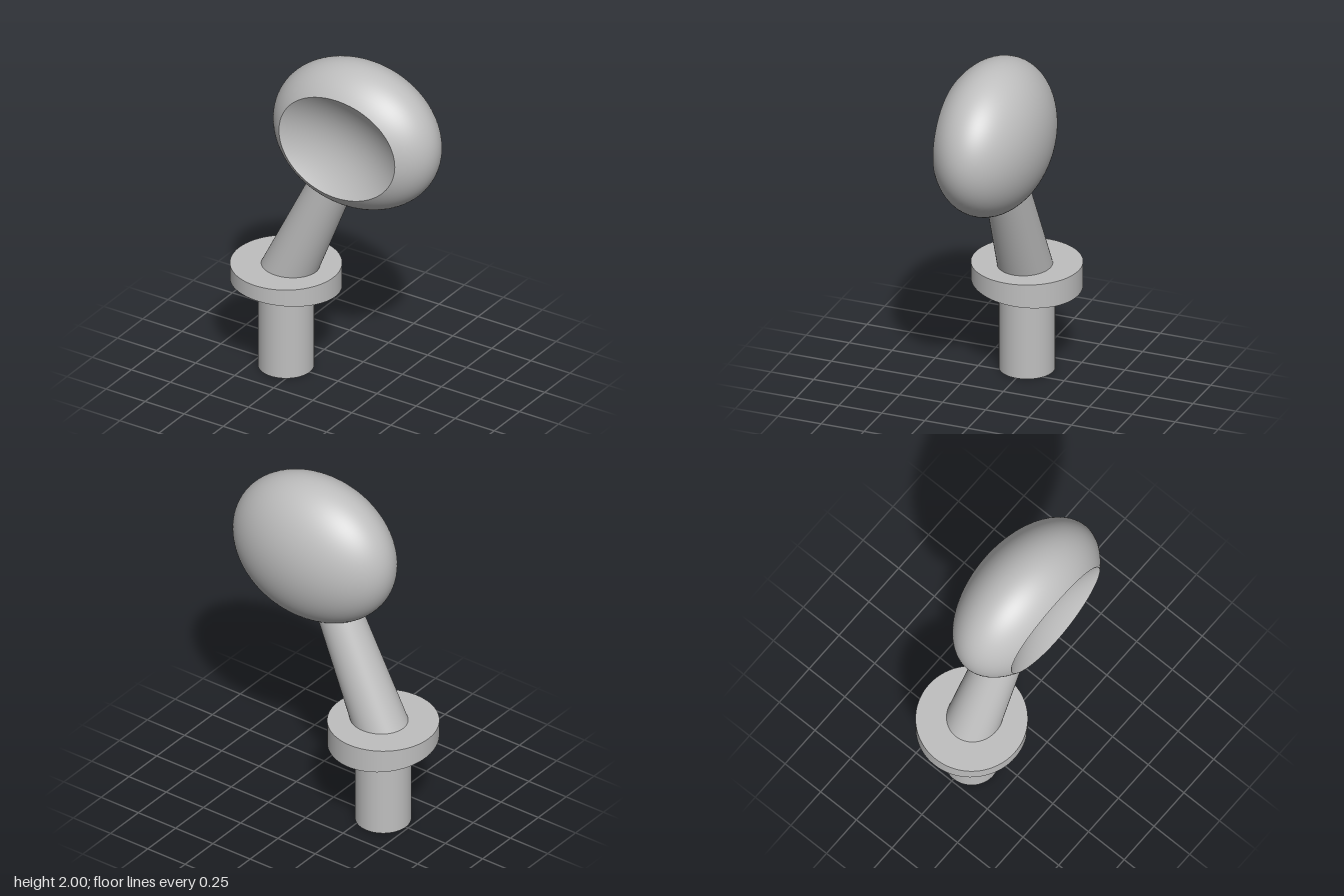
import * as THREE from 'three';
import { ParametricGeometry } from 'three/addons/geometries/ParametricGeometry.js';

const HEAD = new THREE.Vector3(0.125, 1.572, 0);
const RX = 0.505, RY = 0.428, RZ = 0.302; // head radii
const DISH_Z = 0.105;                     // deepest point of the dish
const BASE_X = -0.333;

// Rim of the dish: slightly saddle-shaped, lying on the head ellipsoid
const rimZ = (a) => 0.21 - 0.005 * Math.cos(2 * a);

// Outer shell, from the back pole to the rim
function shellPoint(u, v, target) {
  const a = u * Math.PI * 2;
  const end = Math.PI - Math.acos(rimZ(a) / RZ);
  const t = THREE.MathUtils.lerp(0.001, end, v);
  target.set(RX * Math.sin(t) * Math.cos(a), RY * Math.sin(t) * Math.sin(a), -RZ * Math.cos(t));
}

// Concave face, from the rim to its centre
function dishPoint(u, v, target) {
  const a = u * Math.PI * 2, z = rimZ(a);
  const k = Math.sqrt(1 - (z / RZ) ** 2);
  const s = THREE.MathUtils.lerp(1, 0.001, v);
  target.set(RX * k * s * Math.cos(a), RY * k * s * Math.sin(a), DISH_Z + (z - DISH_Z) * s * s);
}

export function createModel() {
  const group = new THREE.Group();
  const grey = new THREE.MeshStandardMaterial({ color: 0xbfbfbf });
  grey.name = 'plain grey';

  const add = (name, geometry, x, y, z) => {
    const mesh = new THREE.Mesh(geometry, grey);
    mesh.name = name;
    mesh.position.set(x, y, z);
    group.add(mesh);
    return mesh;
  };

  // Round post
  add('post', new THREE.CylinderGeometry(0.152, 0.152, 0.54, 64), BASE_X, 0.27, 0);

  // Collar with a flat top and a slanted underside
  const collar = new THREE.CylinderGeometry(0.302, 0.302, 0.12, 96);
  const p = collar.attributes.position;
  for (let i = 0; i < p.count; i++) {
    p.setY(i, p.getY(i) > 0 ? 0.63 : 0.512 + 0.09 * p.getZ(i) - 0.03 * p.getX(i));
  }
  add('collar', collar, BASE_X, 0, 0);

  // Tapered neck leaning towards the centre of the head
  const foot = new THREE.Vector3(BASE_X, 0.56, 0);
  const axis = HEAD.clone().sub(foot).normalize();
  const length = 0.82;
  const middle = foot.clone().addScaledVector(axis, length / 2);
  const neck = add('neck', new THREE.CylinderGeometry(0.117, 0.151, length, 64),
    middle.x, middle.y, middle.z);
  neck.quaternion.setFromUnitVectors(new THREE.Vector3(0, 1, 0), axis);

  // Ellipsoid head with a dished front
  add('headShell', new ParametricGeometry(shellPoint, 96, 48), HEAD.x, HEAD.y, HEAD.z);
  add('headDish', new ParametricGeometry(dishPoint, 96, 24), HEAD.x, HEAD.y, HEAD.z);

  return group;
}
